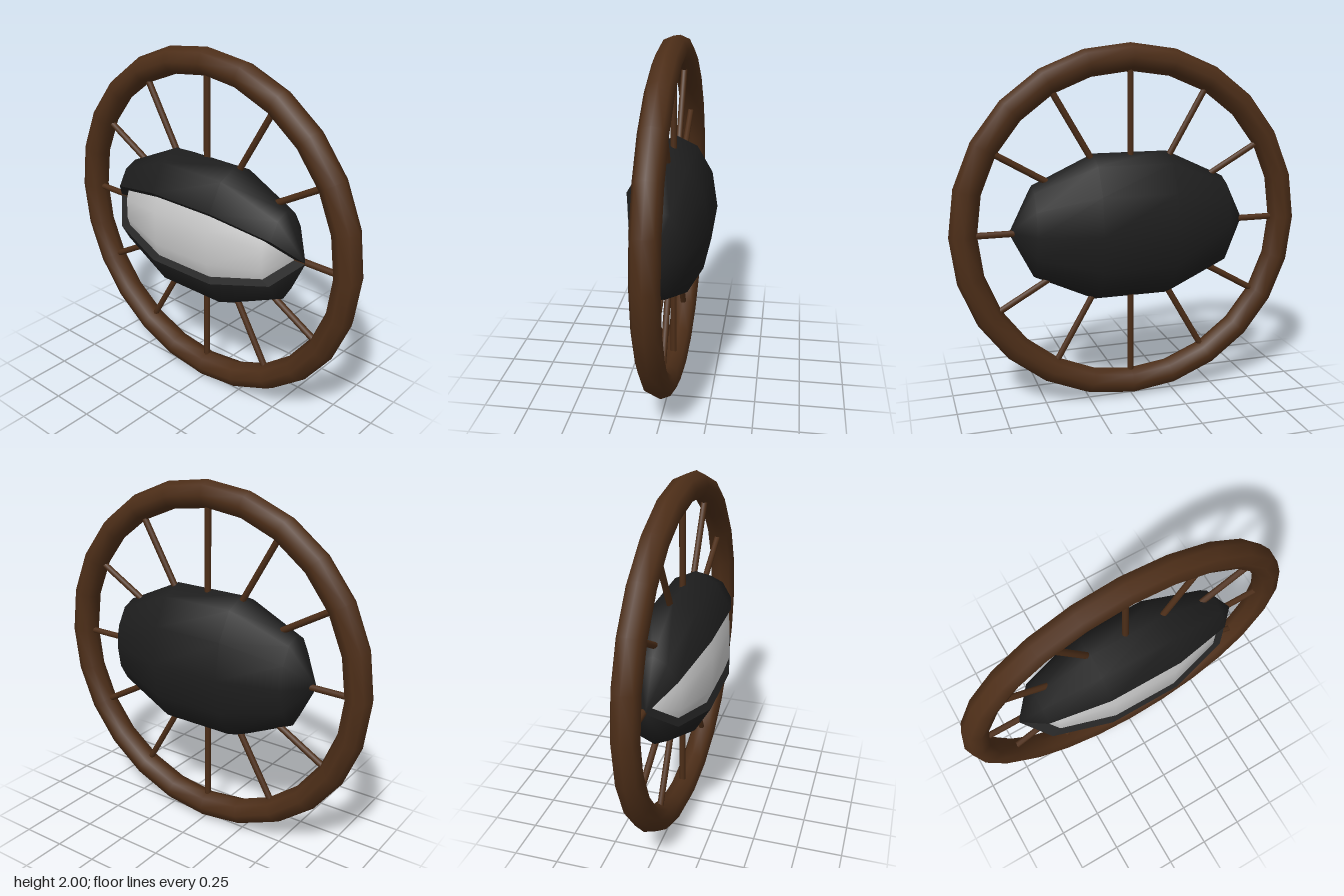
import * as THREE from 'three';

const rad = THREE.MathUtils.degToRad;

export function createModel() {
  const model = new THREE.Group();
  const wood = new THREE.MeshStandardMaterial({ color: 0x4d2e18 });
  const dark = new THREE.MeshStandardMaterial({ color: 0x1e1e1e, side: THREE.DoubleSide });
  const grey = new THREE.MeshStandardMaterial({ color: 0xcccccc });

  const add = (parent, name, geometry, material) => {
    const mesh = new THREE.Mesh(geometry, material);
    mesh.name = name;
    parent.add(mesh);
    return mesh;
  };

  // Wheel: rim and twelve spokes
  const wheel = new THREE.Group();
  wheel.name = 'wheel';
  wheel.position.y = 1;
  model.add(wheel);
  add(wheel, 'rim', new THREE.TorusGeometry(0.925, 0.075, 8, 24), wood);

  const spokeGeometry = new THREE.CylinderGeometry(0.018, 0.018, 0.7, 8).translate(0, 0.55, 0);
  for (let i = 0; i < 12; i++) {
    add(wheel, 'spoke', spokeGeometry, wood).rotation.z = rad(i * 30);
  }

  // Eye: ellipsoids with their poles on the x axis
  const eye = new THREE.Group();
  eye.name = 'eye';
  eye.position.set(0, 1, 0.014);
  model.add(eye);
  const size = [0.68, 0.433, 0.252];
  const ellipsoid = (segments, start, length, k) =>
    new THREE.SphereGeometry(1, segments, 5, rad(start), rad(length))
      .rotateZ(-Math.PI / 2)
      .scale(...size.map((s) => s * k));

  // Shell with a 60 degree wedge open at the front
  add(eye, 'eyelidShell', ellipsoid(10, 120, 300, 1), dark);

  // Flat cut faces of the wedge, upper and lower
  for (const [name, angle] of [['upperLidFace', 60], ['lowerLidFace', 120]]) {
    const face = new THREE.CircleGeometry(1, 5, 0, Math.PI).rotateX(rad(angle)).scale(...size);
    add(eye, name, face, dark);
  }

  // Eyeball showing through the wedge
  add(eye, 'eyeball', ellipsoid(12, 15, 360, 0.9), grey);

  return model;
}
